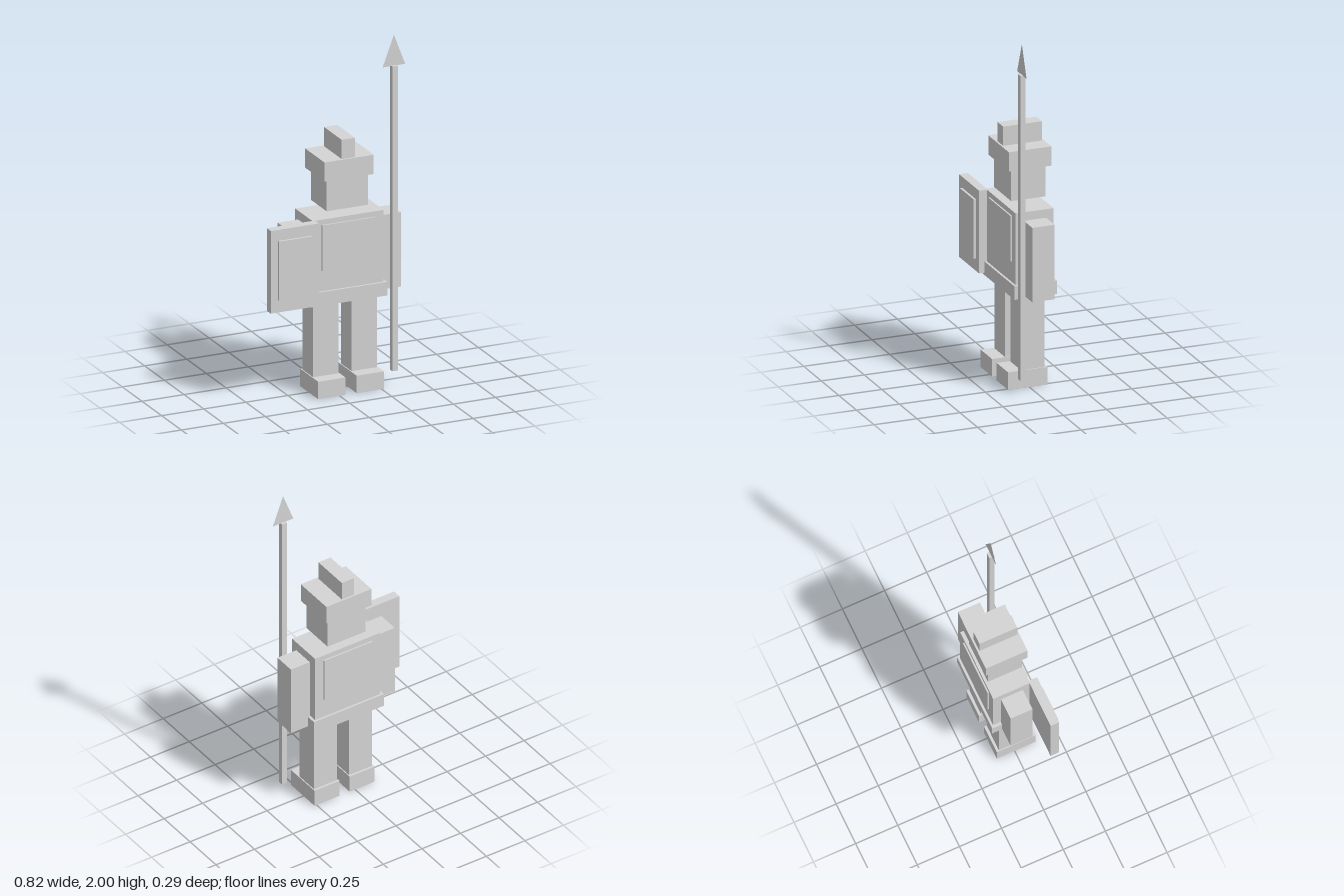
import * as THREE from 'three';

export function createModel() {
  const model = new THREE.Group();
  model.name = 'spearGuard';
  const grey = new THREE.MeshStandardMaterial({ color: 0xd4d4d4 });
  grey.name = 'paleGrey';
  const mid = 0.068; // the body's own centre line

  // Box given by its limits on each axis
  const box = (name, [x0, x1], [y0, y1], [z0, z1]) => {
    const mesh = new THREE.Mesh(new THREE.BoxGeometry(x1 - x0, y1 - y0, z1 - z0), grey);
    mesh.position.set((x0 + x1) / 2, (y0 + y1) / 2, (z0 + z1) / 2);
    mesh.name = name;
    model.add(mesh);
  };
  const centred = (half) => [mid - half, mid + half];

  // Head and helmet
  box('head', centred(0.123), [1.05, 1.23], [-0.125, 0.076]);
  box('helmetBrim', centred(0.146), [1.23, 1.34], [-0.148, 0.099]);
  box('helmetCrest', centred(0.039), [1.34, 1.45], [-0.137, 0.088]);

  // Body
  box('torso', centred(0.211), [0.6, 1.01], [-0.135, 0.086]);
  box('belt', centred(0.227), [0.522, 0.6], [-0.148, 0.099]);
  box('chestPlate', centred(0.157), [0.718, 0.98], [0.086, 0.095]);
  box('backPlate', centred(0.157), [0.718, 0.98], [-0.144, -0.135]);

  // Limbs, mirrored about the body's centre line
  for (const [side, s] of [['left', 1], ['right', -1]]) {
    const span = (a, b) => [mid + s * a, mid + s * b].sort((p, q) => p - q);
    box(side + 'Arm', span(0.215, 0.337), [0.537, 0.963], [-0.09, 0.04]);
    box(side + 'Leg', span(0.039, 0.189), [0.1, 0.522], [-0.091, 0.046]);
    box(side + 'Boot', span(0.033, 0.195), [0, 0.1], [-0.106, 0.123]);
  }

  // Shield in the right hand
  box('shield', [-0.413, -0.128], [0.537, 1.01], [0.081, 0.132]);
  box('shieldPanel', [-0.369, -0.173], [0.607, 0.947], [0.132, 0.145]);

  // Spear in the left hand, with a flat tip facing both ways
  box('spearShaft', [0.328, 0.361], [0.08, 1.825], [0.061, 0.092]);
  const outline = new THREE.Shape([
    new THREE.Vector2(-0.067, 1.823), new THREE.Vector2(0.067, 1.823), new THREE.Vector2(0, 2),
  ]);
  for (const [name, turn] of [['spearTipFront', 0], ['spearTipBack', Math.PI]]) {
    const tip = new THREE.Mesh(new THREE.ShapeGeometry(outline), grey);
    tip.position.set(0.3445, 0, 0.0765);
    tip.rotation.y = turn;
    tip.name = name;
    model.add(tip);
  }
  return model;
}
